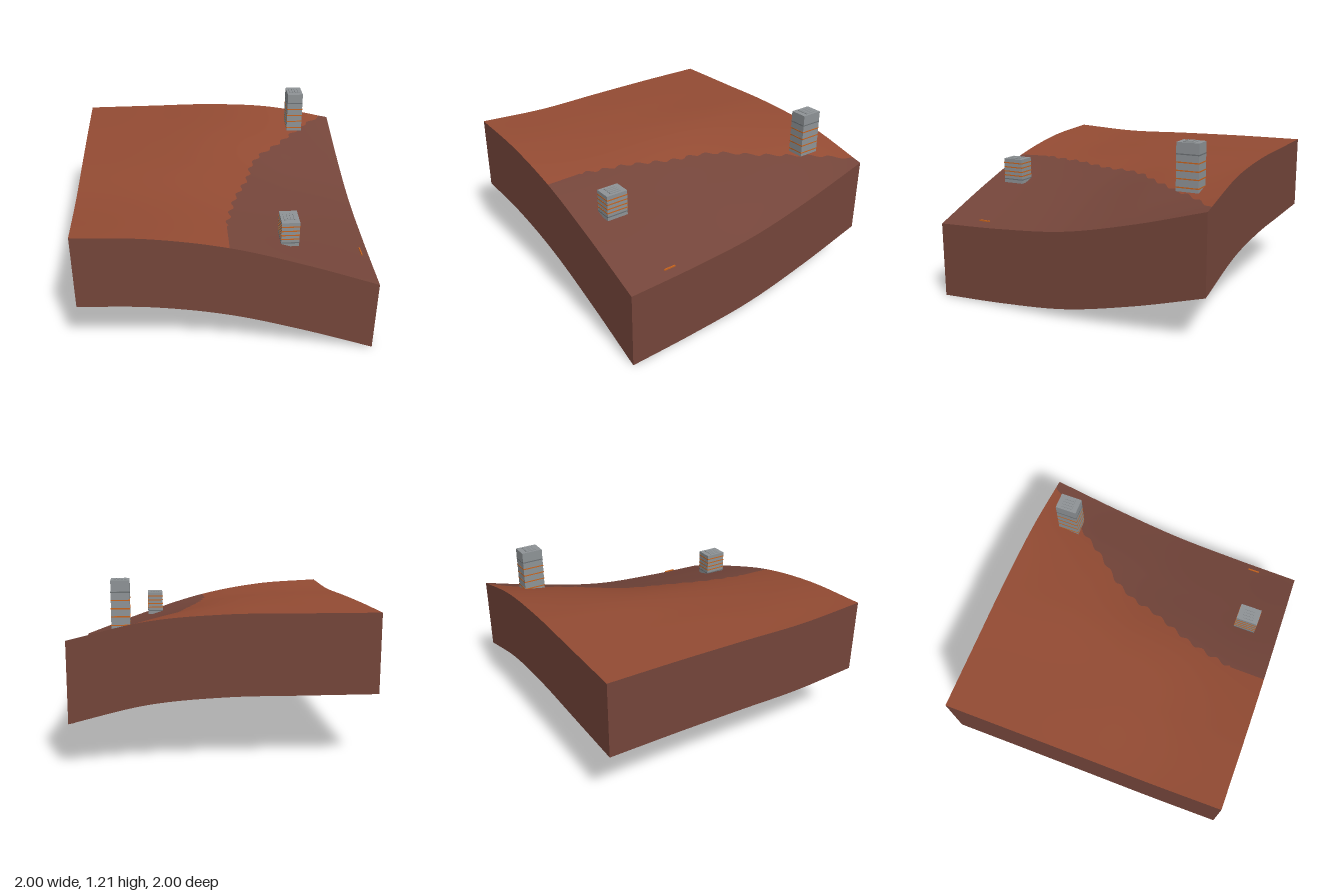
import * as THREE from 'three';

// Terrain heights: rows run z = -1..1, columns run x = -1..1
const HEIGHTS = [
  [0.998, 1.0, 1.0, 0.962, 0.85],
  [0.995, 0.992, 0.982, 0.887, 0.71],
  [0.985, 0.98, 0.938, 0.787, 0.602],
  [0.972, 0.955, 0.892, 0.738, 0.557],
  [0.993, 0.962, 0.873, 0.718, 0.535],
];
const SKIRT = 0.535;

// Smooth curve through five evenly spaced values over -1..1
function spline(p, t) {
  const s = (t + 1) * 2;
  const i = Math.min(3, Math.max(0, Math.floor(s)));
  const f = s - i;
  const a = i > 0 ? p[i - 1] : 2 * p[0] - p[1];
  const d = i < 3 ? p[i + 2] : 2 * p[4] - p[3];
  const b = p[i], c = p[i + 1];
  return b + 0.5 * f * (c - a + f * (2 * a - 5 * b + 4 * c - d + f * (3 * (b - c) + d - a)));
}
const heightAt = (x, z) => spline(HEIGHTS.map((row) => spline(row, x)), z);

// Wavy line dividing the bright plateau from the dark slope, as [z, x] points
const BORDER = [[-1, 0.95], [-0.95, 0.89], [-0.8, 0.75], [-0.7, 0.68], [-0.45, 0.5], [-0.25, 0.33],
  [-0.1, 0.25], [0.1, 0.2], [0.2, 0.16], [0.4, 0.08], [0.6, 0.03], [0.75, 0], [1, 0]];
function borderX(z) {
  let i = 0;
  while (i < BORDER.length - 2 && z > BORDER[i + 1][0]) i++;
  const [z0, x0] = BORDER[i], [z1, x1] = BORDER[i + 1];
  const wave = z < 0.75 ? 0.014 * Math.sin(z * 52) : 0;
  return x0 + (x1 - x0) * (z - z0) / (z1 - z0) + wave;
}

// Grid surface from a rule that maps u, v in 0..1 to [x, y, z]
function surface(nu, nv, rule) {
  const pos = [], idx = [];
  for (let j = 0; j <= nv; j++) {
    for (let i = 0; i <= nu; i++) {
      pos.push(...rule(i / nu, j / nv));
      if (i < nu && j < nv) {
        const a = j * (nu + 1) + i, b = a + nu + 1;
        idx.push(a, b, a + 1, b, b + 1, a + 1);
      }
    }
  }
  const g = new THREE.BufferGeometry();
  g.setAttribute('position', new THREE.Float32BufferAttribute(pos, 3));
  g.setIndex(idx);
  g.computeVertexNormals();
  return g;
}

function material(name, color, side = THREE.FrontSide) {
  const m = new THREE.MeshStandardMaterial({ color, side });
  m.name = name;
  return m;
}

export function createModel() {
  const model = new THREE.Group();
  const rust = material('rustSoil', 0x934b33, THREE.DoubleSide);
  const dark = material('darkSoil', 0x74453a, THREE.DoubleSide);
  const grey = material('concrete', 0x8e9396);
  const shade = material('darkConcrete', 0x6c7174);
  const orange = material('orange', 0xc8641e);

  const add = (parent, name, geometry, mat, x = 0, y = 0, z = 0) => {
    const mesh = new THREE.Mesh(geometry, mat);
    mesh.name = name;
    mesh.position.set(x, y, z);
    parent.add(mesh);
  };

  // Ground, split along the border
  const ground = (x0, x1) => surface(40, 160, (u, v) => {
    const z = v * 2 - 1;
    const x = x0(z) + (x1(z) - x0(z)) * u;
    return [x, heightAt(x, z), z];
  });
  add(model, 'plateau', ground(() => -1, borderX), rust);
  add(model, 'slope', ground(borderX, () => 1), dark);

  // Side walls that follow the ground, open underneath
  const wall = (at) => surface(60, 1, (u, v) => {
    const [x, z] = at(u * 2 - 1);
    return [x, heightAt(x, z) - v * SKIRT, z];
  });
  add(model, 'frontWall', wall((t) => [t, 1]), dark);
  add(model, 'backWall', wall((t) => [-t, -1]), dark);
  add(model, 'leftWall', wall((t) => [1, -t]), dark);
  add(model, 'rightWall', wall((t) => [-1, t]), dark);

  // Towers with floor bands and roof slats
  const W = 0.12, D = 0.155;
  function tower(name, x, z, base, top, orangeBands, greyBands) {
    const g = new THREE.Group();
    g.name = name;
    g.position.set(x, 0, z);
    add(g, 'body', new THREE.BoxGeometry(W, top - base, D), grey, 0, (top + base) / 2, 0);
    const band = new THREE.BoxGeometry(W + 0.003, 0.008, D + 0.003);
    orangeBands.forEach((y) => add(g, 'orangeBand', band, orange, 0, y, 0));
    greyBands.forEach((y) => add(g, 'greyBand', band, shade, 0, y, 0));
    for (let i = 0; i < 4; i++) {
      add(g, 'roofSlat', new THREE.BoxGeometry(0.016, 0.006, 0.08), grey, (i - 1.5) * 0.022, top + 0.002, 0);
    }
    model.add(g);
  }
  tower('tallTower', 0.662, -0.752, 0.885, 1.2, [0.912, 0.968, 1.02, 1.073], [1.125]);
  tower('shortTower', 0.415, 0.748, 0.752, 0.933, [0.808, 0.838, 0.87, 0.902], [0.78]);

  // Small marker bar near the low corner
  add(model, 'markerBar', new THREE.BoxGeometry(0.008, 0.009, 0.085), orange, 0.941, 0.581, 0.67);
  return model;
}
